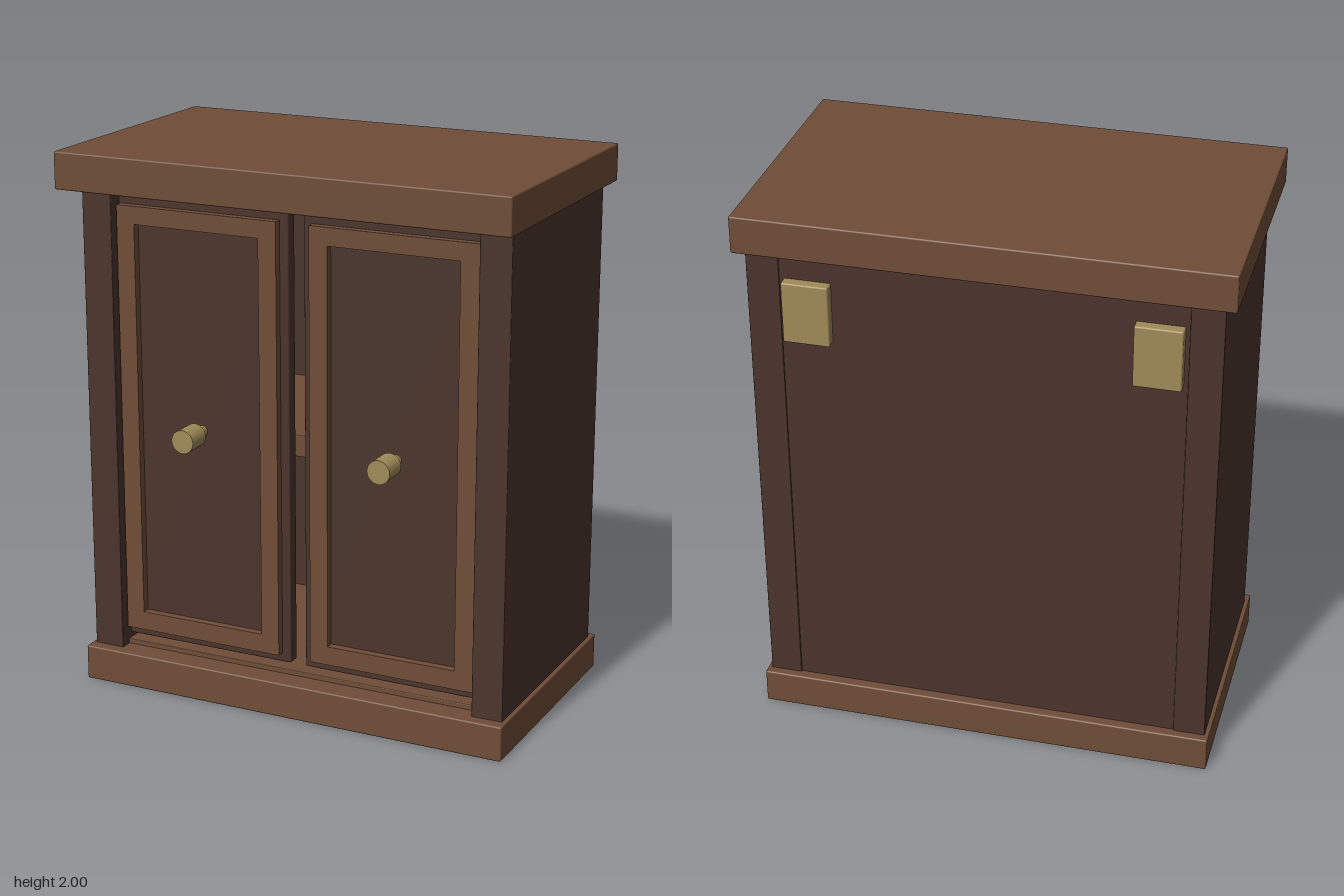
import * as THREE from 'three';
import { RoundedBoxGeometry } from 'three/addons/geometries/RoundedBoxGeometry.js';

const oak = new THREE.MeshStandardMaterial({ color: 0x6f4d37 });
const walnut = new THREE.MeshStandardMaterial({ color: 0x4a342c });
const brass = new THREE.MeshStandardMaterial({ color: 0xa08a58 });

// Board given by its min and max along each axis, with slightly eased edges
function board(name, material, [x0, x1], [y0, y1], [z0, z1], radius = 0.006) {
  const geometry = new RoundedBoxGeometry(x1 - x0, y1 - y0, z1 - z0, 2, radius);
  const mesh = new THREE.Mesh(geometry, material);
  mesh.position.set((x0 + x1) / 2, (y0 + y1) / 2, (z0 + z1) / 2);
  mesh.name = name;
  return mesh;
}

function rectangle(target, x0, x1, y0, y1) {
  target.moveTo(x0, y0);
  target.lineTo(x1, y0);
  target.lineTo(x1, y1);
  target.lineTo(x0, y1);
  target.closePath();
  return target;
}

// Cylinder lying along z from z0 to z1
function rod(name, radius, x, y, z0, z1) {
  const geometry = new THREE.CylinderGeometry(radius, radius, z1 - z0, 24);
  geometry.rotateX(Math.PI / 2);
  const mesh = new THREE.Mesh(geometry, brass);
  mesh.position.set(x, y, (z0 + z1) / 2);
  mesh.name = name;
  return mesh;
}

// Door: dark slab, raised moulding frame and a knob in the middle
function createDoor(side) {
  const door = new THREE.Group();
  door.name = side > 0 ? 'leftDoor' : 'rightDoor';
  const span = (a, b) => (side > 0 ? [a, b] : [-b, -a]);

  door.add(board('doorSlab', walnut, span(0.03, 0.7), [0.17, 1.835], [0.28, 0.33]));

  const shape = rectangle(new THREE.Shape(), ...span(0.063, 0.692), 0.205, 1.8);
  shape.holes.push(rectangle(new THREE.Path(), ...span(0.132, 0.622), 0.275, 1.735));
  const frame = new THREE.Mesh(
    new THREE.ExtrudeGeometry(shape, { depth: 0.04, bevelEnabled: false }), oak);
  frame.position.z = 0.32;
  frame.name = 'doorFrame';
  door.add(frame);

  door.add(rod('knobStem', 0.022, side * 0.38, 1, 0.32, 0.385));
  door.add(rod('knob', 0.043, side * 0.38, 1, 0.38, 0.473));
  return door;
}

export function createModel() {
  const cabinet = new THREE.Group();
  cabinet.name = 'cabinet';

  // Outer carcass
  cabinet.add(
    board('top', oak, [-0.855, 0.855], [1.865, 2], [-0.5, 0.5]),
    board('base', oak, [-0.83, 0.83], [0, 0.13], [-0.5, 0.43]),
    board('backPanel', walnut, [-0.705, 0.705], [0.125, 1.87], [-0.462, -0.43], 0.002),
  );

  // Interior boards
  cabinet.add(
    board('floorBoard', oak, [-0.705, 0.705], [0.1, 0.148], [-0.44, 0.34], 0.003),
    board('ceilingBoard', oak, [-0.705, 0.705], [1.825, 1.88], [-0.44, 0.27], 0.003),
    board('shelf', oak, [-0.705, 0.705], [0.93, 1.01], [-0.44, 0.25], 0.003),
  );

  // Mirrored sides, doors and hanging plates
  for (const side of [-1, 1]) {
    const span = (a, b) => (side > 0 ? [a, b] : [-b, -a]);
    cabinet.add(
      board('sidePanel', walnut, span(0.7, 0.815), [0.125, 1.87], [-0.468, 0.386], 0.003),
      createDoor(side),
      board('hangingPlate', brass, span(0.52, 0.685), [1.55, 1.775], [-0.5, -0.455]),
    );
  }
  return cabinet;
}
